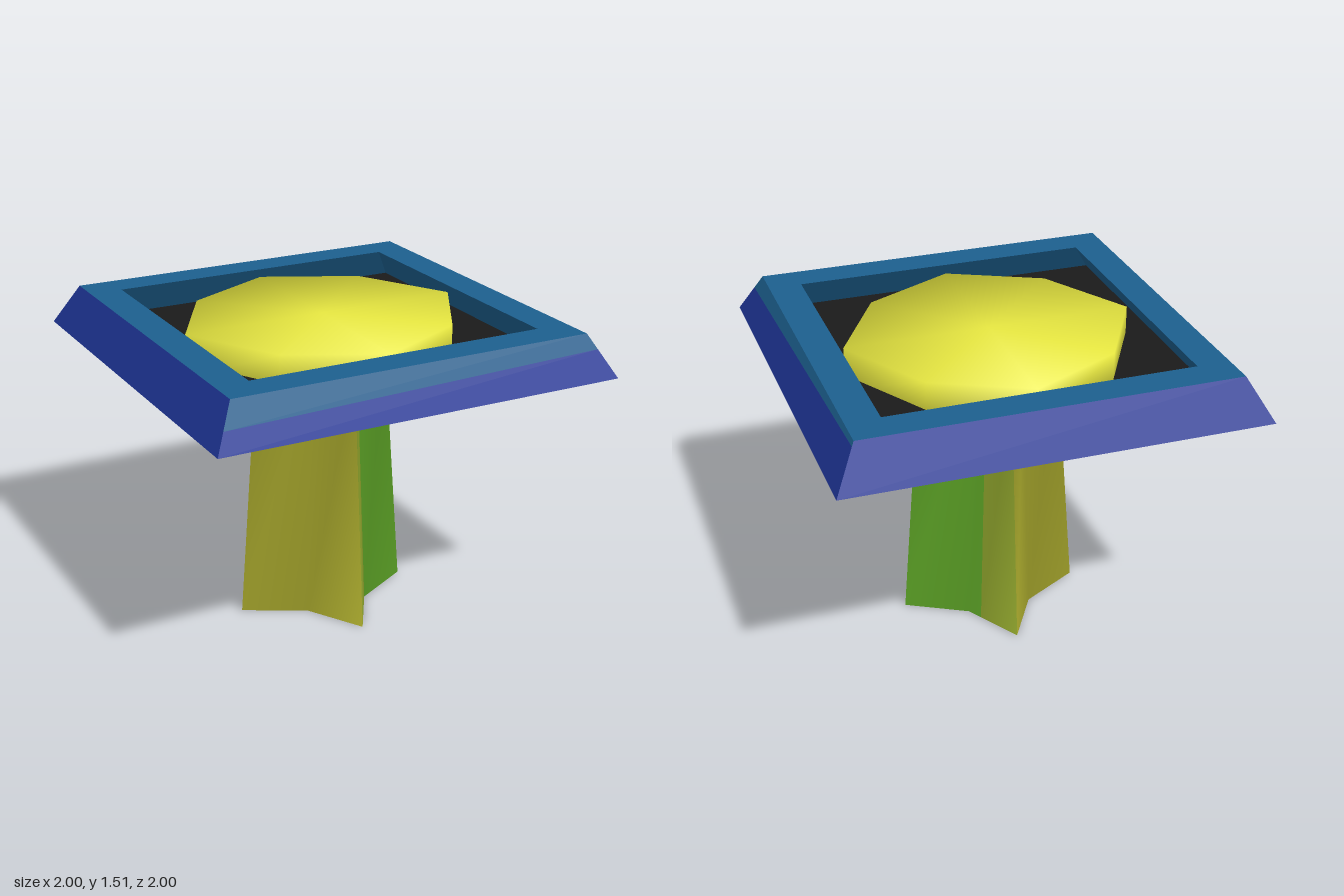
import * as THREE from 'three';

const mat = (name, color) => {
  const m = new THREE.MeshStandardMaterial({ color, side: THREE.DoubleSide });
  m.name = name;
  return m;
};

// Vertex normals weighted by corner angle, for soft shading across hard shapes
function softNormals(geo) {
  const p = geo.attributes.position, idx = geo.index.array;
  const sums = Array.from({ length: p.count }, () => new THREE.Vector3());
  const tri = new THREE.Triangle(), n = new THREE.Vector3();
  const u = new THREE.Vector3(), v = new THREE.Vector3();
  for (let i = 0; i < idx.length; i += 3) {
    tri.setFromAttributeAndIndices(p, idx[i], idx[i + 1], idx[i + 2]);
    if (tri.getArea() < 1e-6) continue;
    tri.getNormal(n);
    const c = [tri.a, tri.b, tri.c];
    for (let j = 0; j < 3; j++) {
      u.subVectors(c[(j + 1) % 3], c[j]);
      v.subVectors(c[(j + 2) % 3], c[j]);
      sums[idx[i + j]].addScaledVector(n, u.angleTo(v));
    }
  }
  geo.setAttribute('normal', new THREE.Float32BufferAttribute(
    sums.flatMap(s => s.normalize().toArray()), 3));
}

// Star-shaped stem flowing into an eight-sided slab: rings of [y, x tip, z tip, diagonal]
function pedestalGeometry() {
  const rings = [
    [0, 0, 0, 0],
    [0, 0.45, 0.43, 0.16],
    [1.29, 0.35, 0.33, 0.125],
    [1.29, 0.705, 0.67, 0.45],
    [1.49, 0.705, 0.67, 0.45],
    [1.49, 0, 0, 0],
  ];
  const pos = [], idx = [], geo = new THREE.BufferGeometry();
  for (const [y, tx, tz, d] of rings) {
    for (let k = 0; k < 8; k++) {
      const c = Math.round(Math.cos(k * Math.PI / 4)), s = Math.round(Math.sin(k * Math.PI / 4));
      pos.push(c * (k % 2 ? d : tx), y, s * (k % 2 ? d : tz));
    }
  }
  // Stem is green towards +x, olive beside it, yellow elsewhere
  const stemColours = [1, 2, 0, 0, 0, 0, 2, 1];
  const quad = (a, b, a2, b2) => [a, a2, b, b, a2, b2];
  for (let r = 0; r < rings.length - 1; r++) {
    for (let k = 0; k < 8; k++) {
      const a = r * 8 + k, b = r * 8 + (k + 1) % 8;
      geo.addGroup(idx.length, 6, r < 2 ? stemColours[k] : 0);
      idx.push(...quad(a, b, a + 8, b + 8));
    }
  }
  geo.setAttribute('position', new THREE.Float32BufferAttribute(pos, 3));
  geo.setIndex(idx);
  softNormals(geo);

  // Green runs a little past the rear groove: cut that face in two
  const cut = rings.length * 8, rear = 14;
  for (const name of ['position', 'normal']) {
    const attr = geo.attributes[name], values = Array.from(attr.array);
    for (const [i, t] of [[rear, 0.25], [rear + 8, 0.35]]) {
      const tip = new THREE.Vector3().fromBufferAttribute(attr, i);
      values.push(...new THREE.Vector3().fromBufferAttribute(attr, i + 1).lerp(tip, t).toArray());
    }
    geo.setAttribute(name, new THREE.Float32BufferAttribute(values, 3));
  }
  idx.splice(rear * 6, 6, ...quad(rear, cut, rear + 8, cut + 1));
  geo.addGroup(idx.length, 6, 1);
  idx.push(...quad(cut, rear + 1, cut + 1, rear + 9));
  geo.setIndex(idx);
  return geo;
}

// One straight side strip, from [half size, y] pairs at its lower and upper ends
function strip(lowL, lowR, upL, upR) {
  const [a, b, c, d] = [[-lowL[0], lowL[1], lowL[0]], [lowR[0], lowR[1], lowR[0]],
    [upR[0], upR[1], upR[0]], [-upL[0], upL[1], upL[0]]];
  const geo = new THREE.BufferGeometry();
  geo.setAttribute('position', new THREE.Float32BufferAttribute([a, b, c, a, c, d].flat(), 3));
  geo.computeVertexNormals();
  return geo;
}

export function createModel() {
  const yellow = mat('yellow', 0xe8e841), green = mat('green', 0x86e83a);
  const olive = mat('olive', 0xc4e040), blue = mat('blue', 0x1f3597);
  const teal = mat('teal', 0x1c5f8e), black = mat('black', 0x1a1a1a);
  const model = new THREE.Group();
  model.name = 'pedestalTable';

  const pedestal = new THREE.Mesh(pedestalGeometry(), [yellow, green, olive]);
  pedestal.name = 'pedestal';
  model.add(pedestal);

  // Dark sheet set into the frame
  const panel = new THREE.Mesh(new THREE.BoxGeometry(1.67, 0.008, 1.67), black);
  panel.name = 'panel';
  panel.position.y = 1.35;
  model.add(panel);

  // Bevelled square frame, an open shell, one side at a time: front, right, back, left
  const slant = y => [1 - (y - 1.31) * 0.55, y];
  const paintLine = [[1.40, 1.44], [1.44, 1.49], [1.51, 1.51], [1.51, 1.51]];
  paintLine.forEach(([yl, yr], side) => {
    const frame = new THREE.Group();
    frame.name = 'frameSide' + (side + 1);
    frame.rotation.y = side * Math.PI / 2;
    const add = (name, m, ...ends) => {
      const mesh = new THREE.Mesh(strip(...ends), m);
      mesh.name = name;
      frame.add(mesh);
    };
    const band = (name, m, low, up) => add(name, m, low, low, up, up);
    add('lowerBevel', blue, slant(1.31), slant(1.31), slant(yl), slant(yr));
    if (yl < 1.51) add('upperBevel', teal, slant(yl), slant(yr), slant(1.51), slant(1.51));
    band('topRim', teal, [0.89, 1.51], [0.73, 1.51]);
    band('innerWall', teal, [0.73, 1.51], [0.835, 1.354]);
    model.add(frame);
  });
  return model;
}
